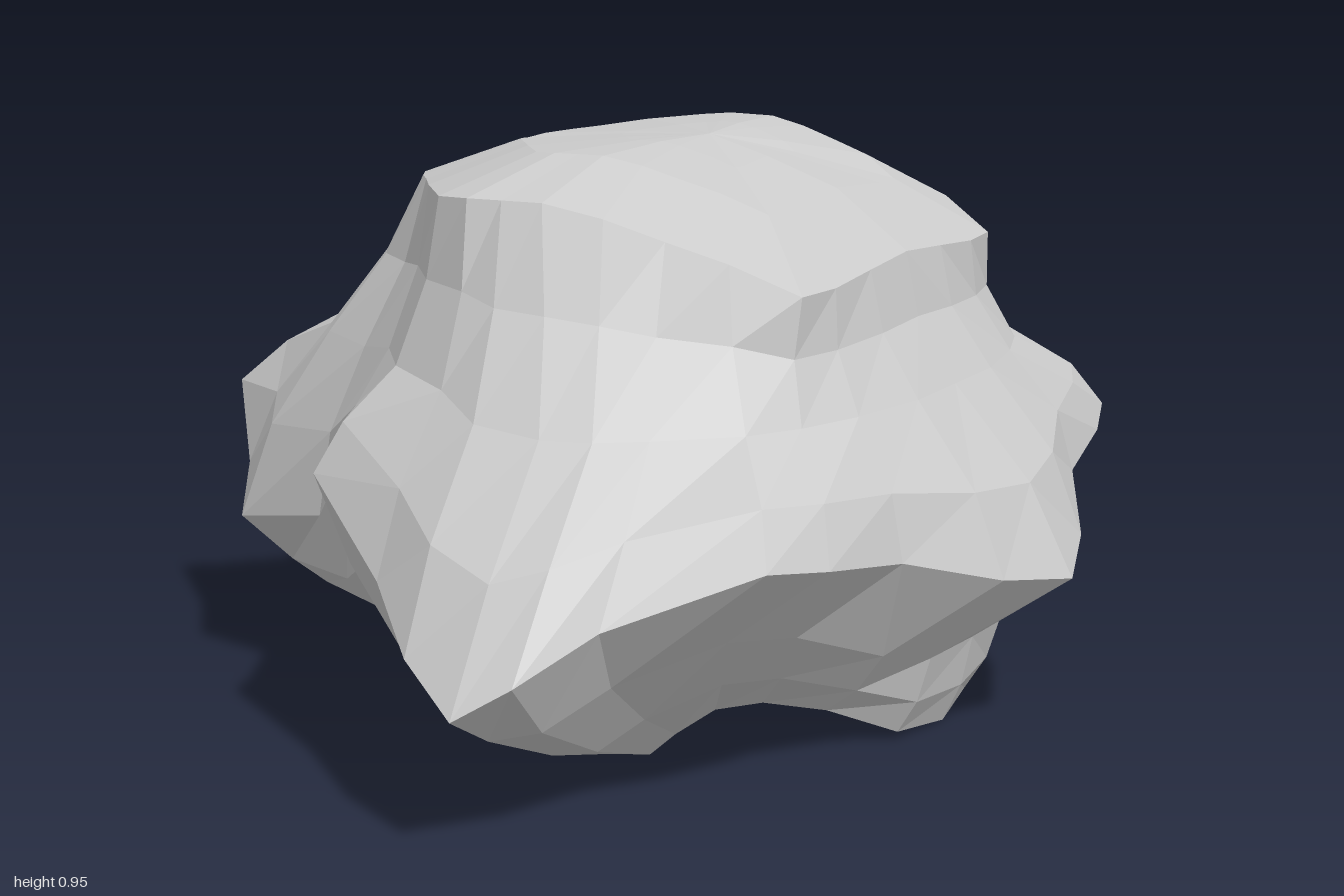
import * as THREE from 'three';

// Half loops of [x, y, z], running from +x through the front to -x
const foot = [
  [0.59, 0, 0], [0.57, 0.015, 0.14], [0.48, 0.06, 0.22], [0.4, 0.08, 0.29],
  [0.35, 0.08, 0.36], [0.31, 0.05, 0.42], [0.28, 0.02, 0.45], [0.22, 0.015, 0.46],
  [0.07, 0.025, 0.45], [-0.06, 0.03, 0.42], [-0.12, 0.09, 0.39], [-0.2, 0.11, 0.33],
  [-0.3, 0.12, 0.26], [-0.42, 0.13, 0.19], [-0.52, 0.16, 0.1], [-0.57, 0.185, 0],
];
const chin = [
  [0.64, 0.15, 0], [0.63, 0.15, 0.15], [0.6, 0.18, 0.27], [0.54, 0.25, 0.46],
  [0.49, 0.27, 0.6], [0.37, 0.22, 0.74], [0.31, 0.17, 0.84], [0.23, 0.15, 0.86],
  [0.1, 0.16, 0.78], [-0.02, 0.2, 0.69], [-0.2, 0.3, 0.57], [-0.25, 0.27, 0.44],
  [-0.36, 0.2, 0.34], [-0.54, 0.19, 0.24], [-0.64, 0.24, 0.13], [-0.69, 0.29, 0],
];
const rim = [
  [0.81, 0.27, 0], [0.76, 0.3, 0.17], [0.67, 0.36, 0.36], [0.64, 0.39, 0.56],
  [0.6, 0.41, 0.69], [0.4, 0.33, 0.83], [0.33, 0.27, 0.96], [0.25, 0.22, 1],
  [0.13, 0.28, 0.93], [0, 0.35, 0.8], [-0.22, 0.46, 0.64], [-0.28, 0.44, 0.46],
  [-0.4, 0.31, 0.36], [-0.61, 0.27, 0.29], [-0.69, 0.33, 0.15], [-0.81, 0.44, 0],
];
const waist = [
  [0.6, 0.57, 0], [0.6, 0.57, 0.15], [0.57, 0.57, 0.31], [0.53, 0.57, 0.43],
  [0.48, 0.57, 0.52], [0.37, 0.57, 0.62], [0.3, 0.57, 0.67], [0.22, 0.57, 0.69],
  [0.1, 0.58, 0.68], [0, 0.61, 0.61], [-0.14, 0.62, 0.52], [-0.23, 0.62, 0.4],
  [-0.33, 0.6, 0.32], [-0.46, 0.6, 0.23], [-0.53, 0.59, 0.12], [-0.55, 0.605, 0],
];
const brow = [
  [0.51, 0.78, 0], [0.51, 0.77, 0.14], [0.51, 0.76, 0.27], [0.5, 0.76, 0.37],
  [0.4, 0.81, 0.42], [0.3, 0.84, 0.44], [0.2, 0.87, 0.455], [0.1, 0.89, 0.47],
  [0.03, 0.89, 0.475], [-0.03, 0.89, 0.48], [-0.1, 0.885, 0.45], [-0.2, 0.88, 0.32],
  [-0.28, 0.87, 0.2], [-0.33, 0.865, 0.13], [-0.37, 0.86, 0.06], [-0.4, 0.85, 0],
];
const bottom = foot.map(() => [0.1, 0.04, 0]);
const peak = brow.map(() => [0.15, 0.95, 0]);

// Loop between two others, swollen (or pinched) sideways and lifted
function blend(a, b, t, swell = 0, lift = 0) {
  return a.map((p, i) => [0, 1, 2].map((k) =>
    (p[k] + (b[i][k] - p[k]) * t) * (k === 1 ? 1 : 1 + swell) + (k === 1 ? lift : 0)));
}

// Mirror a half loop across z = 0 into a closed one
const close = (half) => [...half, ...half.slice(1, -1).reverse().map(([x, y, z]) => [x, y, -z])];

// Skin the closed loops from bottom to top, leaving out collapsed triangles
function skin(loops) {
  const pos = [];
  const same = (a, b) => a.every((v, k) => Math.abs(v - b[k]) < 1e-6);
  const tri = (a, b, c) => {
    if (!same(a, b) && !same(b, c) && !same(c, a)) pos.push(...a, ...b, ...c);
  };
  for (let r = 0; r < loops.length - 1; r++) {
    const lo = loops[r], hi = loops[r + 1], n = lo.length;
    for (let i = 0; i < n; i++) {
      const j = (i + 1) % n;
      // mirrored diagonals keep both halves alike
      if (i < n / 2) {
        tri(lo[i], hi[i], lo[j]);
        tri(lo[j], hi[i], hi[j]);
      } else {
        tri(lo[i], hi[j], lo[j]);
        tri(lo[i], hi[i], hi[j]);
      }
    }
  }
  const geo = new THREE.BufferGeometry();
  geo.setAttribute('position', new THREE.Float32BufferAttribute(pos, 3));
  geo.computeVertexNormals();
  return geo;
}

export function createModel() {
  const group = new THREE.Group();
  group.name = 'boulder';
  const loops = [
    bottom,
    blend(foot, bottom, 0.4),
    foot,
    blend(foot, chin, 0.5, 0.01, -0.01), // rounded undercut
    chin,
    rim,
    blend(rim, waist, 0.5, 0.04), // skirt
    waist,
    blend(waist, brow, 0.5, -0.04), // hollow below the brow
    brow,
    blend(brow, peak, 0.35, 0, 0.035), // domed top
    blend(brow, peak, 0.7, 0, 0.02),
    peak,
  ].map(close);
  const rock = new THREE.Mesh(
    skin(loops),
    new THREE.MeshStandardMaterial({ color: 0xcccccc, flatShading: true }),
  );
  rock.name = 'rock';
  group.add(rock);
  return group;
}
